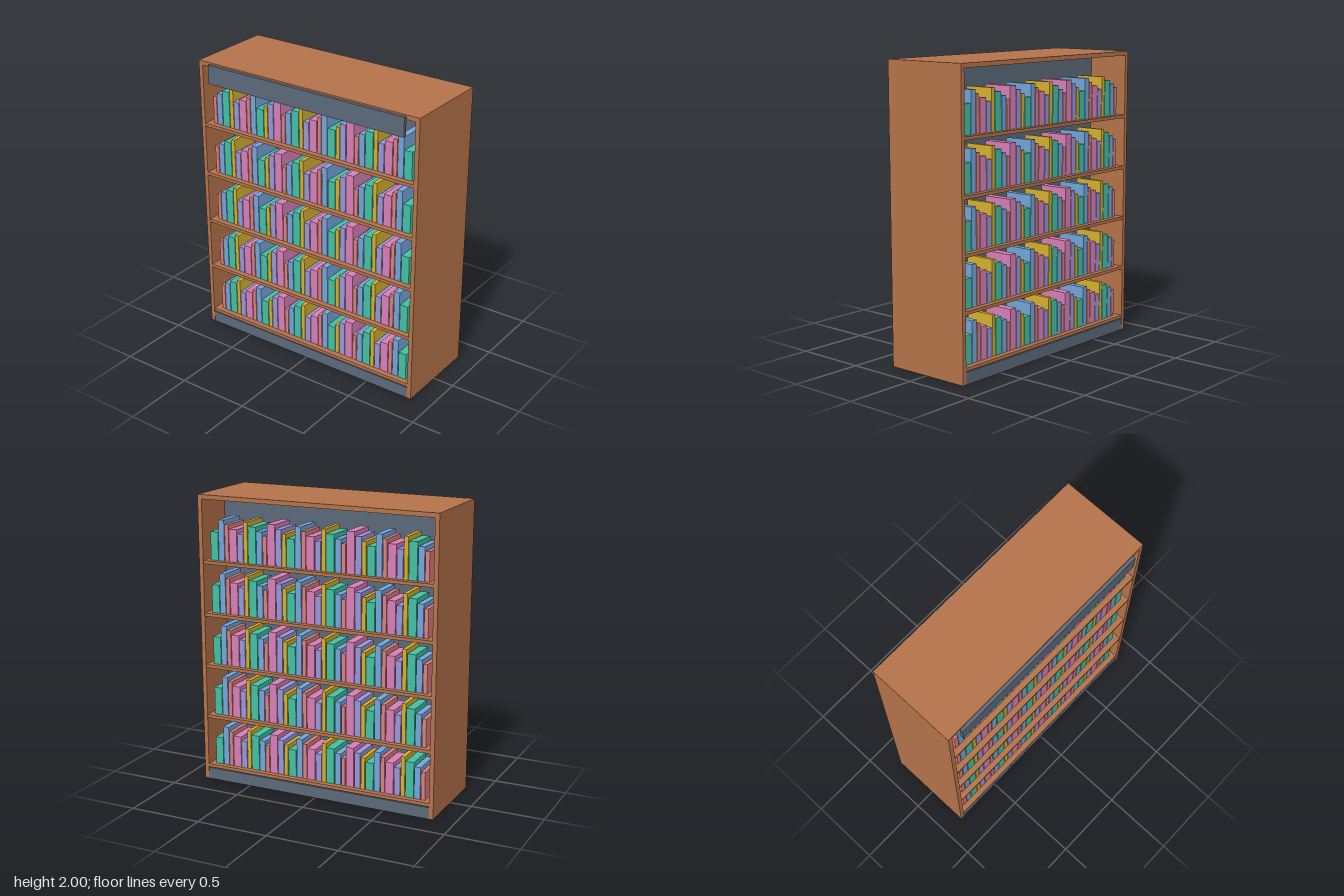
import * as THREE from 'three';

const mat = (color) => new THREE.MeshStandardMaterial({ color });

export function createModel() {
  const model = new THREE.Group();
  model.name = 'doubleSidedBookcase';
  const wood = mat(0xb5734a);
  const slate = mat(0x5b6979);
  const bookMats = [0xdc7f7f, 0x74a5da, 0x42c0a3, 0xd6b02f, 0x9896d8, 0xd77fb6].map(mat);

  // Box given by its min and max corners
  const box = (name, material, [x0, y0, z0], [x1, y1, z1], parent = model) => {
    const mesh = new THREE.Mesh(new THREE.BoxGeometry(x1 - x0, y1 - y0, z1 - z0), material);
    mesh.position.set((x0 + x1) / 2, (y0 + y1) / 2, (z0 + z1) / 2);
    mesh.name = name;
    parent.add(mesh);
    return mesh;
  };

  const W = 0.855, inner = 0.825;          // outer and inner half widths
  const back = -0.322, front = 0.298, mid = (back + front) / 2;

  // Carcass: two sides, top, central divider, plinth
  box('rightSide', wood, [-W, 0.002, back], [-inner, 2, front]);
  box('leftSide', wood, [inner, 0.002, back], [W, 2, front]);
  box('top', wood, [-inner, 1.97, back], [inner, 2, front]);
  box('dividerPanel', slate, [-inner, 0.08, mid - 0.015], [inner, 1.97, mid + 0.015]);
  box('plinth', slate, [-W + 0.002, 0, back + 0.003], [W - 0.002, 0.08, front - 0.003]);

  // Header board on the front only
  box('headerBoard', slate, [-0.76, 1.86, front], [0.76, 1.99, 0.32]);

  // Shelves, each with a row of books on both faces
  const widths = [0.028, 0.042, 0.057];
  const heights = [0.193, 0.22, 0.248, 0.276];
  const gap = 0.0053, setback = 0.04, depth = 0.21;

  for (let s = 0; s < 5; s++) {
    const y = 0.109 + s * 0.362;
    box('shelf', wood, [-inner, y - 0.022, back + 0.002], [inner, y, front - 0.002]);

    for (const side of [1, -1]) {
      const row = new THREE.Group();
      row.name = side > 0 ? 'frontBooks' : 'backBooks';
      model.add(row);
      const z0 = side > 0 ? front - setback - depth : back + setback;
      let x = -0.78;
      for (let i = 0; i < 33; i++) {
        const w = widths[i % 3];
        box('book', bookMats[i % 6], [x, y, z0], [x + w, y + heights[i % 4], z0 + depth], row);
        x += w + gap;
      }
    }
  }
  return model;
}
